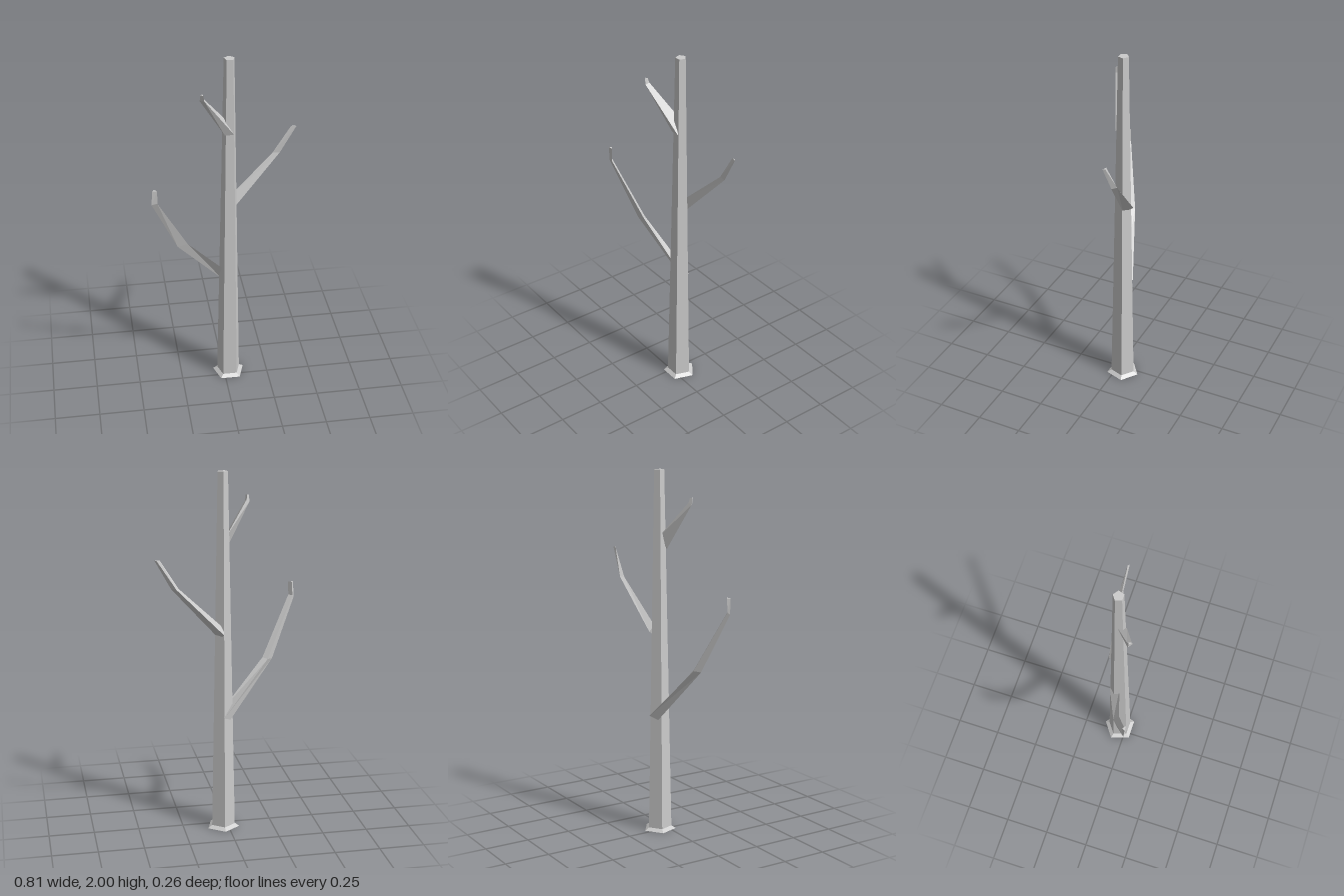
import * as THREE from 'three';

const material = new THREE.MeshStandardMaterial({ color: 0xcccccc, flatShading: true });

// Loft through three-cornered rings (listed root to tip), capped at both ends.
function branch(name, rings) {
  const positions = rings.flat(2);
  const index = [];
  for (let r = 0; r < rings.length - 1; r++) {
    for (let i = 0; i < 3; i++) {
      const a = r * 3 + i, b = r * 3 + (i + 1) % 3;
      index.push(a, b, b + 3, a, b + 3, a + 3);
    }
  }
  const top = (rings.length - 1) * 3;
  index.push(2, 1, 0, top, top + 1, top + 2);

  const indexed = new THREE.BufferGeometry();
  indexed.setAttribute('position', new THREE.Float32BufferAttribute(positions, 3));
  indexed.setIndex(index);
  const geometry = indexed.toNonIndexed();
  geometry.computeVertexNormals();
  const mesh = new THREE.Mesh(geometry, material);
  mesh.name = name;
  return mesh;
}

export function createModel() {
  const tree = new THREE.Group();
  tree.name = 'bareTree';

  // Five-sided tapering trunk with a small flared foot
  const profile = [[0, 0], [0.093, 0], [0.068, 0.015], [0.029, 2], [0, 2]]
    .map(([r, y]) => new THREE.Vector2(r, y));
  const trunk = new THREE.Mesh(new THREE.LatheGeometry(profile, 5, Math.PI), material);
  trunk.name = 'trunk';
  trunk.position.set(0.028, 0, -0.04);
  tree.add(trunk);

  // Long low branch on the right, sweeping forward
  tree.add(branch('lowerRightBranch', [
    [[0.03, 0.66, -0.1], [-0.01, 0.64, -0.07], [0.03, 0.69, -0.04]],
    [[-0.235, 0.95, 0.012], [-0.265, 0.945, 0.04], [-0.21, 0.955, 0.035]],
    [[-0.395, 1.28, 0.115], [-0.405, 1.27, 0.125], [-0.375, 1.28, 0.13]],
    [[-0.39, 1.355, 0.115], [-0.4, 1.355, 0.13], [-0.373, 1.355, 0.128]],
  ]));

  // Middle branch on the left, leaning slightly back
  tree.add(branch('middleLeftBranch', [
    [[0.03, 1.13, -0.1], [0.03, 1.165, -0.07], [0.05, 1.1, -0.05]],
    [[0.29, 1.4, -0.13], [0.275, 1.4, -0.112], [0.315, 1.4, -0.11]],
    [[0.39, 1.555, -0.113], [0.372, 1.555, -0.11], [0.4, 1.555, -0.104]],
  ]));

  // Short upper branch on the right, with a hooked tip
  tree.add(branch('upperRightBranch', [
    [[0.02, 1.64, -0.05], [0, 1.58, -0.005], [0.05, 1.58, -0.005]],
    [[-0.12, 1.83, 0.052], [-0.138, 1.82, 0.06], [-0.117, 1.825, 0.077]],
    [[-0.124, 1.855, 0.058], [-0.134, 1.855, 0.064], [-0.121, 1.855, 0.078]],
  ]));

  return tree;
}
